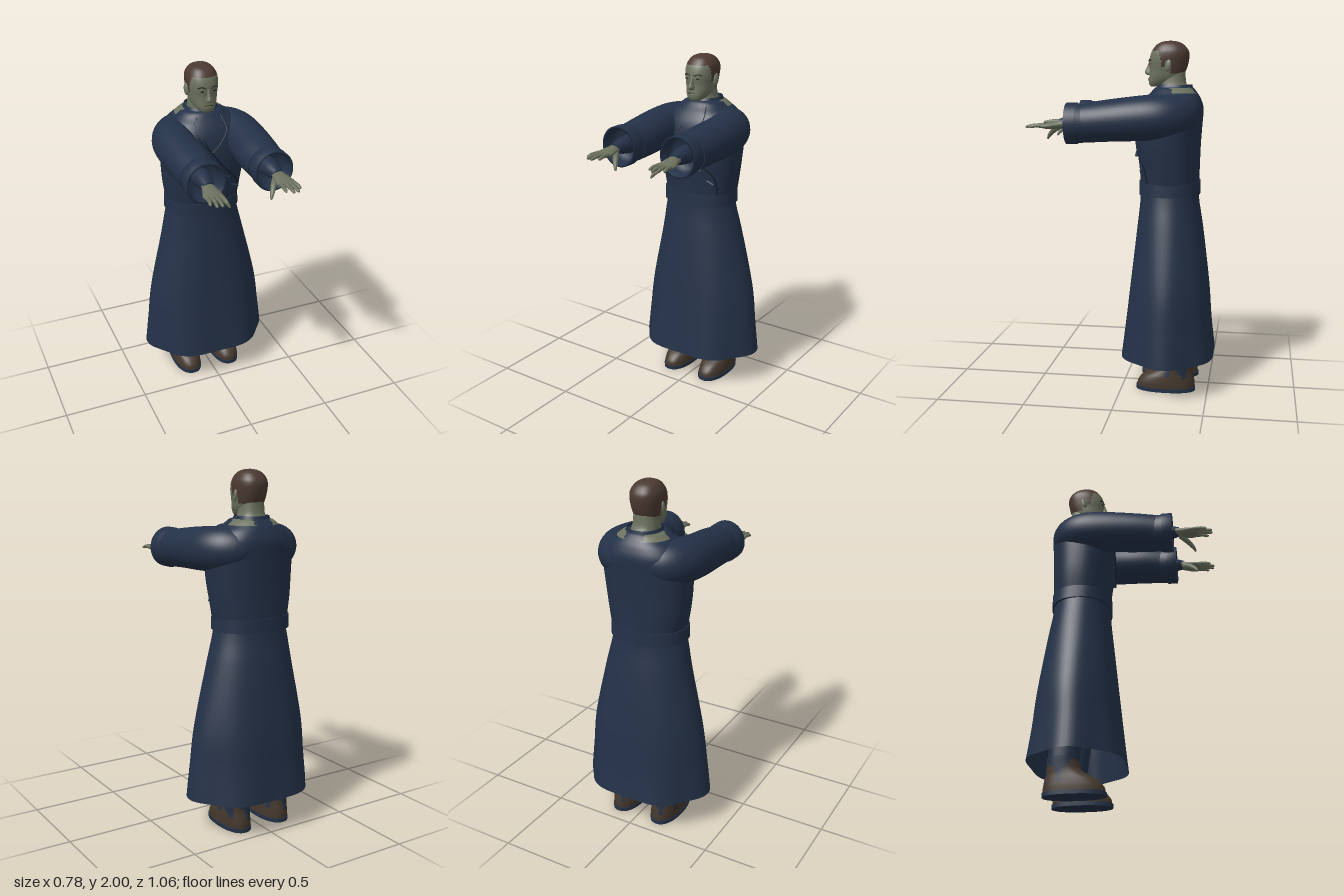
import * as THREE from 'three';

const mat = (name, color) => {
  const m = new THREE.MeshStandardMaterial({ color, side: THREE.DoubleSide });
  m.name = name;
  return m;
};

// Catmull-Rom interpolation of every column in a list of key rows
function refine(rows, k) {
  const out = [], at = i => rows[Math.min(Math.max(i, 0), rows.length - 1)];
  for (let i = 0; i < rows.length - 1; i++) for (let s = 0; s < k; s++) {
    const t = s / k;
    out.push(rows[i].map((_, c) => {
      const [a, b, d, e] = [at(i - 1)[c], at(i)[c], at(i + 1)[c], at(i + 2)[c]];
      return 0.5 * (2 * b + (d - a) * t + (2 * a - 5 * b + 4 * d - e) * t * t + (3 * b - a - 3 * d + e) * t ** 3);
    }));
  }
  out.push(rows[rows.length - 1]);
  return out;
}

// Skin closed rings into a mesh; pick(x, y, z) chooses the material of each quad
function skinRings(name, rings, mats, { pick = () => 0, caps = true } = {}) {
  const n = rings[0].length, pos = rings.flat().flatMap(p => [p.x, p.y, p.z]);
  const faces = mats.map(() => []);
  for (let i = 0; i < rings.length - 1; i++) for (let j = 0; j < n; j++) {
    const j2 = (j + 1) % n, a = i * n + j, b = i * n + j2, c = a + n, d = b + n;
    const m = rings[i][j].clone().add(rings[i + 1][j2]).multiplyScalar(0.5);
    faces[pick(m.x, m.y, m.z)].push(a, c, b, b, c, d);
  }
  if (caps) [rings[0], rings[rings.length - 1]].forEach((ring, e) => {
    const base = pos.length / 3, mid = new THREE.Vector3();
    ring.forEach(p => { pos.push(p.x, p.y, p.z); mid.addScaledVector(p, 1 / n); });
    pos.push(mid.x, mid.y, mid.z);
    for (let j = 0; j < n; j++) {
      const a = base + j, b = base + (j + 1) % n;
      faces[0].push(...(e ? [base + n, b, a] : [base + n, a, b]));
    }
  });
  const g = new THREE.BufferGeometry();
  g.setAttribute('position', new THREE.Float32BufferAttribute(pos, 3));
  g.setIndex(faces.flat());
  let start = 0;
  faces.forEach((f, i) => { g.addGroup(start, f.length, i); start += f.length; });
  g.computeVertexNormals();
  const mesh = new THREE.Mesh(g, mats.length > 1 ? mats : mats[0]);
  mesh.name = name;
  return mesh;
}

// Upright form from rows [y, centre x, half width, front z, back z]
function upright(name, rows, mats, { n = 2.3, k = 5, seg = 48, fold = () => 0, ...opt } = {}) {
  const sp = (v, r) => Math.sign(v) * Math.abs(v) ** (2 / n) * r;
  const rings = refine(rows, k).map(([y, cx, hw, zf, zb]) => Array.from({ length: seg }, (_, j) => {
    const t = j / seg * Math.PI * 2, f = 1 + fold(t, y);
    return new THREE.Vector3(cx + sp(Math.cos(t), hw) * f, y, (zf + zb) / 2 + sp(Math.sin(t), (zf - zb) / 2) * f);
  }));
  return skinRings(name, rings, mats, opt);
}

// Limb along a path of sections [x, y, z, half width, half height]
function limb(name, sections, mats, { k = 5, seg = 24 } = {}) {
  const s = refine(sections, k), p = s.map(q => new THREE.Vector3(q[0], q[1], q[2]));
  const rings = s.map((q, i) => {
    const t = p[Math.min(i + 1, p.length - 1)].clone().sub(p[Math.max(i - 1, 0)]).normalize();
    const r = t.clone().cross(new THREE.Vector3(0, 1, 0)).normalize(), u = r.clone().cross(t);
    return Array.from({ length: seg }, (_, j) => {
      const a = j / seg * Math.PI * 2;
      return p[i].clone().addScaledVector(r, Math.cos(a) * q[3]).addScaledVector(u, Math.sin(a) * q[4]);
    });
  });
  return skinRings(name, rings, mats);
}

// Front surface z of an upright form at (x, y)
function frontZ(rows, x, y, n = 2.3) {
  const r = refine(rows, 12).reduce((a, b) => Math.abs(b[0] - y) < Math.abs(a[0] - y) ? b : a);
  const u = Math.min(Math.abs(x - r[1]) / r[2], 1);
  return (r[3] + r[4]) / 2 + (r[3] - r[4]) / 2 * (1 - u ** n) ** (1 / n);
}

const TORSO = [[1.18, -.008, .212, -.095, -.425], [1.3, -.008, .232, -.085, -.428], [1.42, -.004, .245, -.07, -.432],
  [1.54, 0, .25, -.07, -.44], [1.62, 0, .24, -.085, -.445], [1.675, 0, .2, -.115, -.43],
  [1.71, 0, .15, -.145, -.41], [1.735, 0, .115, -.165, -.39], [1.745, 0, .08, -.185, -.375]];
const HEAD = [[1.745, -.005, .026, -.148, -.2], [1.755, -.005, .044, -.138, -.24], [1.775, -.005, .06, -.133, -.29],
  [1.8, -.005, .072, -.136, -.325], [1.84, -.005, .08, -.14, -.345], [1.88, -.005, .086, -.136, -.357],
  [1.92, -.005, .088, -.142, -.362], [1.95, -.005, .082, -.155, -.354], [1.98, -.005, .062, -.18, -.328],
  [1.995, -.005, .035, -.212, -.295], [2, -.005, .006, -.25, -.26]];

export function createModel() {
  const model = new THREE.Group();
  model.name = 'standingMan';
  const coat = mat('navyCloth', 0x233147), seamCol = mat('darkSeam', 0x141c2a), skin = mat('greyGreenSkin', 0x6c715e);
  const hair = mat('brownHair', 0x4b3931), leather = mat('brownLeather', 0x44382d), ink = mat('darkFeature', 0x2b2723);
  const add = (...m) => model.add(...m);
  const place = (name, geo, m, x, y, z) => {
    const mesh = new THREE.Mesh(geo, m);
    mesh.name = name;
    mesh.position.set(x, y, z);
    add(mesh);
    return mesh;
  };
  // Thin line lying on the front of a form
  const line = (name, rows, pts, r, m) => {
    const curve = new THREE.CatmullRomCurve3(pts.map(([x, y]) => new THREE.Vector3(x, y, frontZ(rows, x, y) + .002)));
    place(name, new THREE.TubeGeometry(curve, 24, r, 6), m, 0, 0, 0);
  };

  // Coat: flared skirt with folds, belt, torso and collar
  add(upright('coatSkirt', [[1.16, -.01, .208, -.092, -.422], [1.08, -.01, .225, -.088, -.43], [.93, -.004, .258, -.072, -.455],
    [.6, 0, .332, -.035, -.497], [.38, 0, .358, -.01, -.515], [.2, 0, .377, .012, -.537]].reverse(), [coat],
    { n: 2.1, seg: 72, caps: false, fold: (t, y) => .035 * Math.cos(6 * t) * Math.max(0, (1.1 - y) / .9) ** 1.3 }));
  add(upright('belt', [[1.137, -.012, .222, -.083, -.433], [1.212, -.012, .22, -.085, -.432]], [coat], { k: 1 }));
  add(upright('coatTorso', TORSO, [coat, skin], {
    seg: 64, pick: (x, y, z) => y > 1.708 && y < 1.74 && Math.abs(x) > .055 && z < -.27 ? 1 : 0 }));
  add(upright('collar', [[1.69, 0, .11, -.155, -.395], [1.725, 0, .1, -.172, -.387], [1.757, 0, .088, -.188, -.38]],
    [coat], { caps: false }));

  // Crossed front edge, lapel edges and toggles
  line('frontFlapEdge', TORSO, [[-.07, 1.72], [-.05, 1.6], [.01, 1.5], [.09, 1.4], [.16, 1.32], [.17, 1.21]], .004, seamCol);
  line('lapelEdge', TORSO, [[-.09, 1.7], [-.085, 1.63], [-.04, 1.56], [-.015, 1.53]], .003, seamCol);
  line('lapelEdge', TORSO, [[.075, 1.72], [.09, 1.65], [.04, 1.58], [-.015, 1.53]], .003, seamCol);
  for (const [x, y] of [[.075, 1.37], [.14, 1.29]]) {
    const t = place('toggle', new THREE.CapsuleGeometry(.008, .045, 4, 10), coat, x, y, frontZ(TORSO, x, y) + .005);
    t.rotation.z = 1.2;
  }

  for (const s of [1, -1]) {
    const side = rows => rows.map(([x, ...r]) => [s * x, ...r]);
    // Sleeve sweeping round the shoulder and forward, with a turned hollow cuff
    add(limb('sleeve', side([[.05, 1.59, -.335, .105, .1], [.14, 1.583, -.3, .118, .118], [.188, 1.58, -.22, .122, .122],
      [.204, 1.572, -.1, .116, .12], [.196, 1.558, .08, .118, .113], [.195, 1.546, .2, .108, .108]]), [coat], { seg: 40 }));
    const cuff = place('cuff', new THREE.LatheGeometry([[.1, .17], [.107, .238], [.112, .242], [.112, .3], [.1, .3],
      [.092, .25], [.08, .21], [0, .205]].map(p => new THREE.Vector2(...p)), 40), coat, s * .195, 1.545, 0);
    cuff.rotation.x = Math.PI / 2;
    cuff.scale.z = 1.03;
    add(limb('innerSleeve', side([[.192, 1.545, .18, .055, .055], [.194, 1.545, .27, .045, .045], [.198, 1.545, .34, .029, .026]]), [coat]));

    // Palm, four fingers and thumb
    add(limb('palm', side([[.198, 1.545, .3, .03, .024], [.2, 1.538, .35, .038, .022], [.204, 1.531, .4, .051, .019],
      [.207, 1.53, .43, .05, .014], [.207, 1.53, .445, .042, .009]]), [skin]));
    for (const [x0, x1, z1] of [[.17, .165, .51], [.194, .198, .534], [.218, .226, .53], [.241, .25, .5]])
      add(limb('finger', side([[x0, 1.531, .42, .013, .012], [(x0 + x1) / 2, 1.533, (z1 + .43) / 2, .011, .01],
        [x1, 1.527, z1 - .01, .009, .008], [x1, 1.526, z1, .004, .004]]), [skin], { seg: 10, k: 3 }));
    add(limb('thumb', side([[.18, 1.528, .345, .018, .016], [.15, 1.505, .385, .016, .015], [.128, 1.475, .417, .011, .011],
      [.117, 1.453, .43, .005, .005]]), [skin], { seg: 12 }));

    // Trouser leg, boot with ragged cloth over the shaft, and sole
    const fx = s > 0 ? .122 : -.137;
    add(upright('trouserLeg', [[.17, fx, .075, -.238, -.405], [.5, fx, .08, -.2, -.39], [1, fx * .8, .09, -.16, -.37]], [coat]));
    add(upright('boot', [[.02, fx, .08, -.09, -.425], [.05, fx, .081, -.097, -.425], [.085, fx, .079, -.128, -.42],
      [.115, fx, .076, -.18, -.414], [.145, fx, .076, -.222, -.411], [.205, fx, .08, -.238, -.41]], [leather, coat], {
      pick: (x, y, z) => {
        const a = Math.atan2(z + .32, x - fx);
        return z < -.26 && y > .125 + .05 * Math.sin(5 * a + 1) + .02 * Math.sin(11 * a) ? 1 : 0;
      } }));
    add(upright('sole', [[0, fx, .083, -.085, -.43], [.022, fx, .084, -.085, -.43]], [coat], { k: 1 }));

    // Ear, eye and brow
    const ear = place('ear', new THREE.SphereGeometry(1, 16, 12), skin, -.005 + s * .088, 1.862, -.25);
    ear.scale.set(.01, .034, .019);
    ear.rotation.set(-.2, s * -.35, 0);
    const ex = s * .033 - .005;
    const eye = place('eye', new THREE.SphereGeometry(1, 12, 8), ink, ex, 1.873, frontZ(HEAD, ex, 1.873));
    eye.scale.set(.013, .005, .004);
    line('eyebrow', HEAD, [[s * .014 - .005, 1.888], [s * .036 - .005, 1.897], [s * .057 - .005, 1.889]], .0035, ink);
  }

  // Neck, head with cropped hair, nose and mouth
  add(upright('neck', [[1.66, 0, .1, -.175, -.39], [1.73, 0, .078, -.19, -.365], [1.77, -.004, .07, -.2, -.345],
    [1.83, -.005, .066, -.2, -.34]], [skin]));
  const hairline = z => z > -.195 ? 1.945 : z > -.215 ? 1.945 + (z + .195) * 3.5 : z > -.235 ? 1.85 : z > -.262 ? 1.89 : 1.822;
  add(upright('headAndHair', HEAD, [skin, hair], { k: 6, seg: 72, pick: (x, y, z) => y > hairline(z) ? 1 : 0 }));
  add(upright('nose', [[1.809, -.005, .01, -.126, -.16], [1.815, -.005, .016, -.117, -.16], [1.826, -.005, .015, -.109, -.16],
    [1.85, -.005, .01, -.12, -.16], [1.885, -.005, .009, -.134, -.16]], [skin], { n: 2, seg: 20 }));
  line('mouth', HEAD, [[-.03, 1.789], [-.005, 1.791], [.02, 1.789]], .0028, ink);
  const lip = place('lowerLip', new THREE.SphereGeometry(1, 14, 8), skin, -.005, 1.783, frontZ(HEAD, -.005, 1.783));
  lip.scale.set(.019, .005, .005);
  return model;
}
